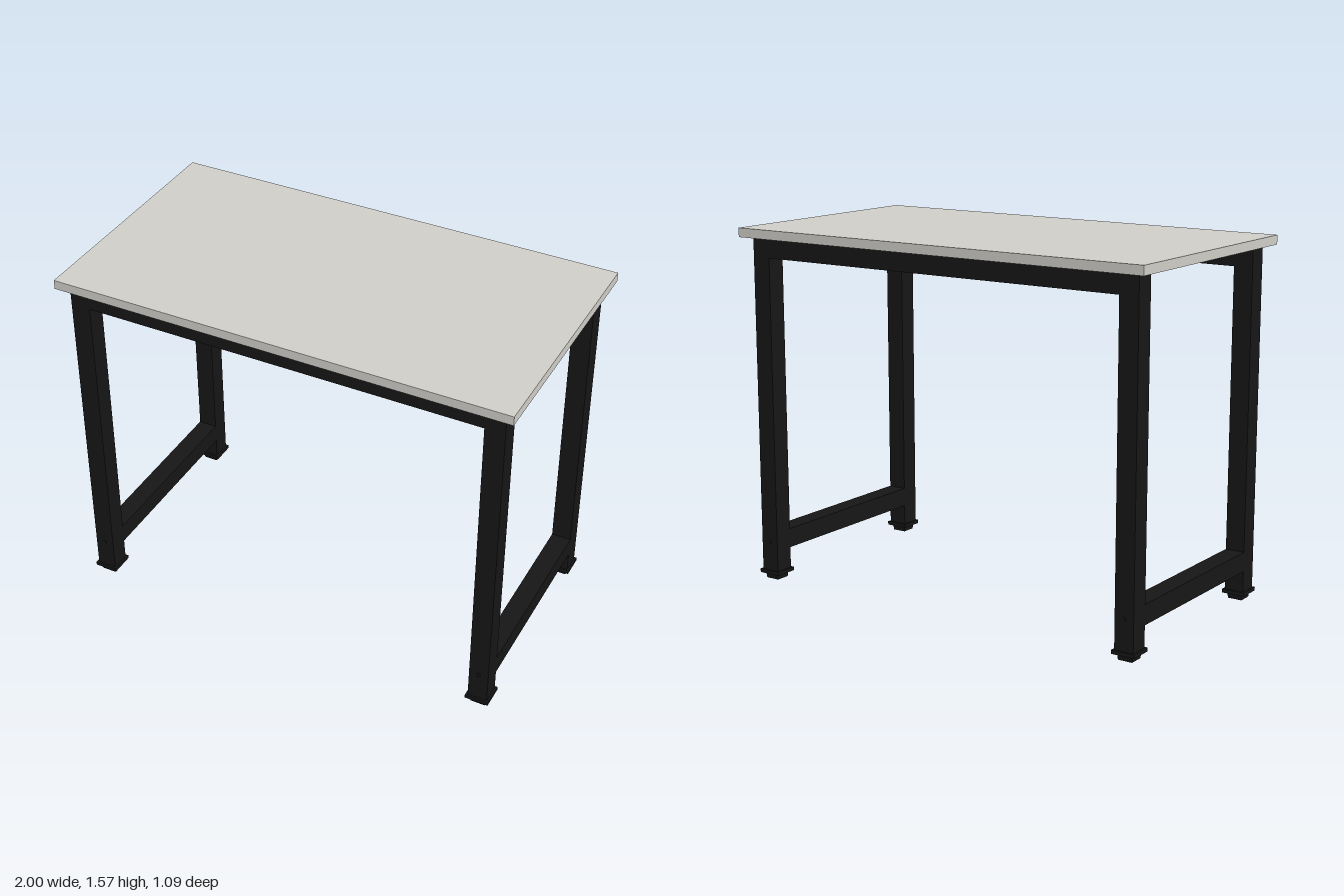
import * as THREE from 'three';

export function createModel() {
  const model = new THREE.Group();
  model.name = 'workTable';
  const steel = new THREE.MeshStandardMaterial({ color: 0x161616 });
  const board = new THREE.MeshStandardMaterial({ color: 0xd0cec8 });

  const add = (name, geometry, material, x, y, z, parent = model) => {
    const mesh = new THREE.Mesh(geometry, material);
    mesh.name = name;
    mesh.position.set(x, y, z);
    parent.add(mesh);
    return mesh;
  };
  const box = (w, h, d) => new THREE.BoxGeometry(w, h, d);

  const top = 1.565, under = 1.525, tube = 0.086, legX = 0.913, legZ = 0.458;

  // Table top
  add('tableTop', box(2, top - under, 1.088), board, 0, (top + under) / 2, 0);

  // Four square legs, each with a flange, a foot pad and a bolt on its outer face
  const legBottom = 0.042;
  for (const sx of [-1, 1]) for (const sz of [-1, 1]) {
    const leg = new THREE.Group();
    leg.name = `${sz > 0 ? 'front' : 'back'}${sx > 0 ? 'Left' : 'Right'}Leg`;
    leg.position.set(sx * legX, 0, sz * legZ);
    model.add(leg);
    add('post', box(tube, under - legBottom, tube), steel, 0, (under + legBottom) / 2, 0, leg);
    add('flange', box(0.104, 0.016, 0.104), steel, 0, 0.034, 0, leg);
    // Pad tapers slightly towards the floor
    const pad = new THREE.CylinderGeometry(0.035 * Math.SQRT2, 0.032 * Math.SQRT2, 0.028, 4)
      .rotateY(Math.PI / 4).toNonIndexed();
    pad.computeVertexNormals();
    add('footPad', pad, steel, 0, 0.014, 0, leg);
    const bolt = new THREE.CylinderGeometry(0.009, 0.009, 0.006, 12).rotateX(Math.PI / 2);
    add('bolt', bolt, steel, 0, 0.175, sz * (tube / 2 + 0.001), leg);
  }

  // Long rails under the top, front and back
  for (const s of [-1, 1]) {
    add(s > 0 ? 'frontRail' : 'backRail', box(2 * legX - tube, tube, tube), steel,
      0, under - tube / 2, s * legZ);
  }

  // Low stretchers joining the legs at each end
  for (const s of [-1, 1]) {
    add(s > 0 ? 'leftStretcher' : 'rightStretcher', box(tube, tube, 2 * legZ - tube), steel,
      s * legX, 0.177, 0);
  }
  return model;
}
